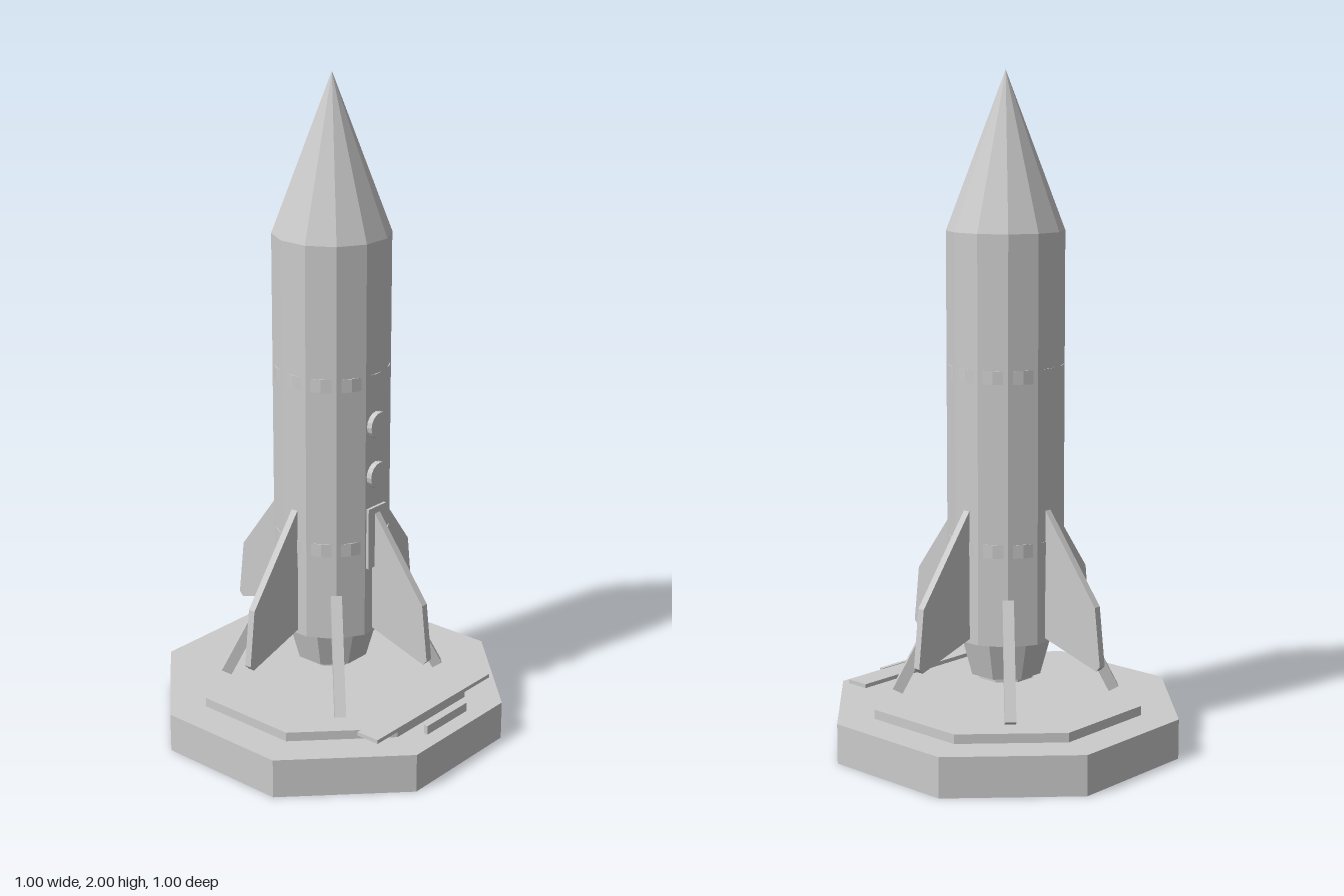
import * as THREE from 'three';

const material = new THREE.MeshStandardMaterial({ color: 0xcccccc, flatShading: true });

export function createModel() {
  const model = new THREE.Group();

  function add(name, geometry, x = 0, y = 0, z = 0, parent = model) {
    const mesh = new THREE.Mesh(geometry, material);
    mesh.name = name;
    mesh.position.set(x, y, z);
    parent.add(mesh);
    return mesh;
  }

  // Upright prism, cone or frustum with a flat side facing front; sizes are measured to the flats
  function prism(name, top, bottom, y0, y1, sides) {
    const k = 1 / Math.cos(Math.PI / sides);
    const geometry = new THREE.CylinderGeometry(top * k, bottom * k, y1 - y0, sides);
    geometry.rotateY(Math.PI / sides);
    return add(name, geometry, 0, (y0 + y1) / 2, 0);
  }

  // Launch pad
  prism('padBase', 0.5, 0.5, 0, 0.12, 8);
  prism('padDeck', 0.393, 0.393, 0.12, 0.148, 8);
  add('padWalkway', new THREE.BoxGeometry(0.54, 0.012, 0.075), 0, 0.154, 0.368);
  add('padPlate', new THREE.BoxGeometry(0.19, 0.028, 0.013), 0, 0.134, 0.444);

  // Rocket hull
  prism('nozzle', 0.08, 0.08, 0.2, 0.22, 8);
  prism('engineSkirt', 0.133, 0.102, 0.215, 0.335, 8);
  prism('body', 0.168, 0.168, 0.335, 1.54, 12);
  prism('noseCone', 0, 0.168, 1.54, 2, 12);

  // Thin bands that just break through the hull's flat sides
  for (const y of [0.62, 1.13]) {
    add('hullBand', new THREE.CylinderGeometry(0.172, 0.172, 0.04, 24), 0, y, 0);
  }

  // Portholes and hatch on the front
  for (const y of [0.84, 0.995]) {
    const disc = new THREE.CylinderGeometry(0.04, 0.04, 0.025, 16);
    disc.rotateX(Math.PI / 2);
    add('porthole', disc, 0, y, 0.173);
  }
  add('hatch', new THREE.BoxGeometry(0.08, 0.19, 0.02), 0, 0.645, 0.167);

  // Fin outline in the plane of radius and height
  const finShape = new THREE.Shape([
    [0.15, 0.755], [0.17, 0.73], [0.358, 0.475], [0.378, 0.302],
    [0.364, 0.287], [0.168, 0.348], [0.15, 0.355],
  ].map(([r, y]) => new THREE.Vector2(r, y)));
  const finGeometry = new THREE.ExtrudeGeometry(finShape, { depth: 0.022, bevelEnabled: false });
  finGeometry.translate(0, 0, -0.011);

  // Sloping strut from the hull down to the pad
  const strutGeometry = new THREE.BoxGeometry(0.033, 0.355, 0.033);
  strutGeometry.rotateZ(Math.atan2(0.16, 0.31));

  // Four fins on the axes, four struts on the diagonals
  for (let i = 0; i < 4; i++) {
    const angle = i * Math.PI / 2;
    add('fin', finGeometry).rotation.y = angle;
    const support = new THREE.Group();
    support.name = 'support';
    support.rotation.y = angle + Math.PI / 4;
    add('strut', strutGeometry, 0.245, 0.313, 0, support);
    model.add(support);
  }

  return model;
}
